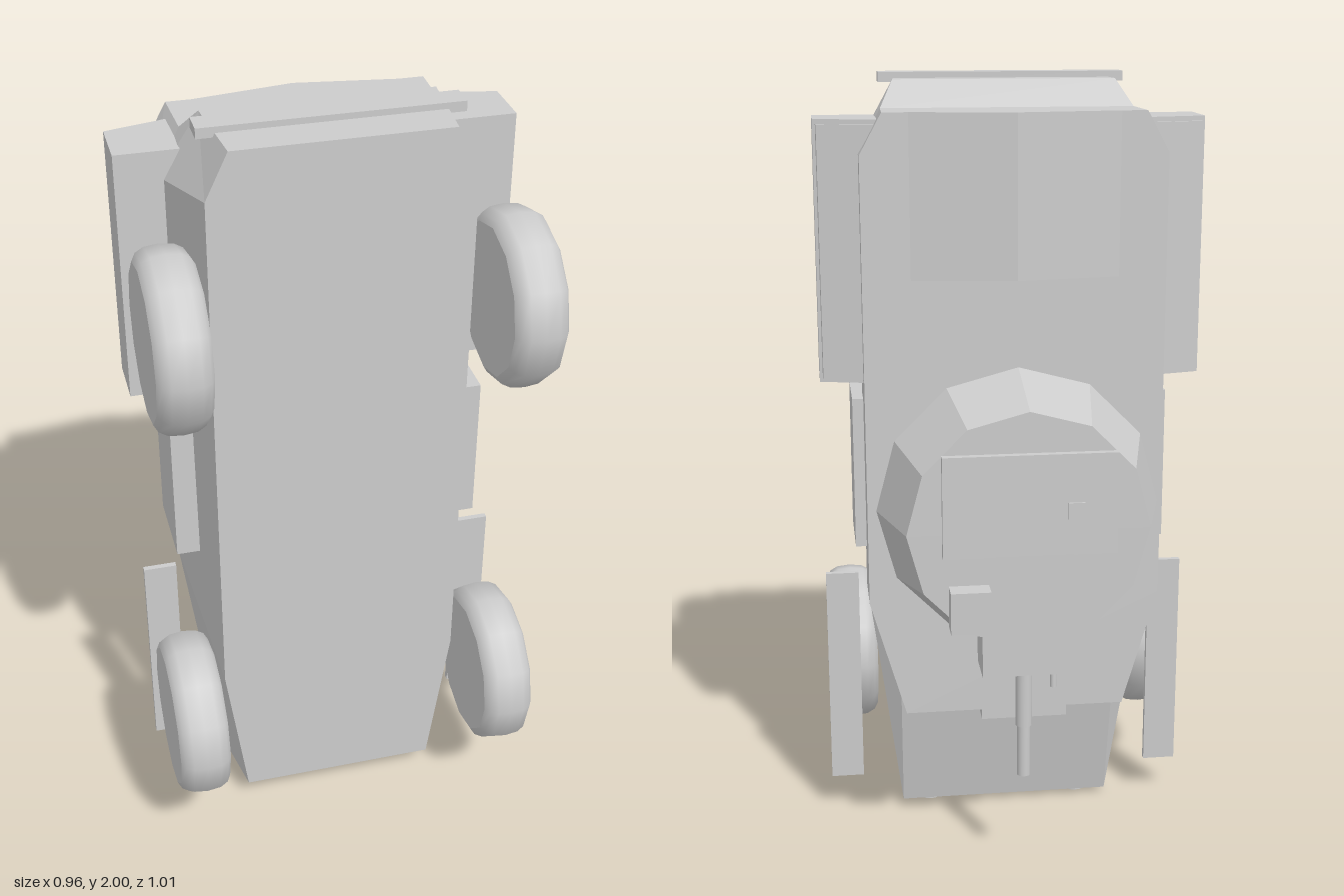
import * as THREE from 'three';

const grey = new THREE.MeshStandardMaterial({ color: 0xcccccc });
grey.name = 'plainGrey';
const flat = (g) => {
  const n = g.index ? g.toNonIndexed() : g;
  n.computeVertexNormals();
  return n;
};

export function createModel() {
  const root = new THREE.Group();
  root.name = 'armouredCar';

  const add = (name, geo, parent = root) => {
    const m = new THREE.Mesh(geo, grey);
    m.name = name;
    parent.add(m);
    return m;
  };
  // box given by its limits on each axis
  const box = (name, x0, x1, y0, y1, z0, z1) => {
    const g = new THREE.BoxGeometry(x1 - x0, y1 - y0, z1 - z0);
    g.translate((x0 + x1) / 2, (y0 + y1) / 2, (z0 + z1) / 2);
    return add(name, g);
  };
  // prism along y from an outline of [x, z] points
  const prismY = (pts, y0, y1) => {
    const s = new THREE.Shape(pts.map(([x, z]) => new THREE.Vector2(x, -z)));
    const g = new THREE.ExtrudeGeometry(s, { depth: y1 - y0, bevelEnabled: false });
    g.rotateX(-Math.PI / 2);
    g.translate(0, y0, 0);
    return g;
  };

  // Hull: four mirrored outlines from belly to roof, [x, y, z] for
  // nose corner, front shoulder, rear shoulder, rear corner
  const levels = [
    [[0.26, 0.065, 0.26], [0.315, 0.47, 0.26], [0.315, 1.87, 0.26], [0.26, 1.985, 0.26]],
    [[0.285, 0.015, 0.035], [0.375, 0.69, -0.04], [0.375, 1.82, 0], [0.28, 1.985, 0.03]],
    [[0.29, 0.38, -0.04], [0.375, 0.69, -0.04], [0.375, 1.82, -0.04], [0.315, 1.92, -0.04]],
    [[0.285, 0.38, -0.19], [0.375, 0.69, -0.19], [0.375, 1.82, -0.19], [0.32, 1.92, -0.19]],
  ].map((half) => [...half, ...half.slice().reverse().map(([x, y, z]) => [-x, y, z])]);
  const pos = [];
  const tri = (a, b, c) => pos.push(...a, ...b, ...c);
  for (let l = 0; l < 3; l++) {
    const a = levels[l], b = levels[l + 1];
    for (let i = 0; i < 8; i++) {
      const j = (i + 1) % 8;
      tri(a[i], b[i], a[j]);
      tri(b[i], b[j], a[j]);
    }
  }
  for (let i = 1; i < 7; i++) {
    tri(levels[0][0], levels[0][i], levels[0][i + 1]);
    tri(levels[3][0], levels[3][i + 1], levels[3][i]);
  }
  const hull = new THREE.BufferGeometry();
  hull.setAttribute('position', new THREE.Float32BufferAttribute(pos, 3));
  hull.computeVertexNormals();
  add('hull', hull);

  // Raised engine deck and rear bumper
  add('engineDeck', prismY([[-0.27, -0.188], [0.27, -0.188], [0, -0.228]], 1.52, 1.92));
  box('rearBumper', -0.312, 0.312, 1.975, 2, 0.095, 0.16);
  box('visionBlock', -0.155, 0.075, 0.3, 0.385, -0.08, -0.015);

  // Wheels: rounded tread with separate flat discs
  const tread = [[0.185, -0.065], [0.203, -0.055], [0.214, -0.035], [0.218, 0],
    [0.214, 0.035], [0.203, 0.055], [0.185, 0.065]].map(([r, h]) => new THREE.Vector2(r, h));
  const treadGeo = new THREE.LatheGeometry(tread, 12).rotateZ(Math.PI / 2);
  const discGeo = new THREE.CylinderGeometry(0.185, 0.185, 0.13, 12).rotateZ(Math.PI / 2);

  for (const s of [1, -1]) {
    const side = s > 0 ? 'left' : 'right';
    const sideBox = (name, x0, x1, ...r) =>
      box(side + name, Math.min(s * x0, s * x1), Math.max(s * x0, s * x1), ...r);

    for (const [end, y] of [['Front', 0.402], ['Rear', 1.553]]) {
      const wheel = new THREE.Group();
      wheel.name = side + end + 'Wheel';
      wheel.position.set(s * 0.41, y, 0.285);
      add('tyre', treadGeo, wheel);
      add('disc', discGeo, wheel);
      root.add(wheel);
    }

    // Side panel, front fender, rear stowage box with sloping lid
    sideBox('Panel', 0.33, 0.403, 0.812, 1.205, -0.09, 0.128);
    sideBox('Fender', 0.395, 0.482, 0.105, 0.7, 0.02, 0.035);
    add(side + 'StowageBox', prismY(
      [[0.31, 0.035], [0.482, 0.035], [0.482, -0.102], [0.31, -0.142]].map(([x, z]) => [s * x, z]), 1.255, 1.9));
    add(side + 'StowageLid', prismY(
      [[0.325, -0.135], [0.475, -0.1], [0.473, -0.116], [0.328, -0.15]].map(([x, z]) => [s * x, z]), 1.265, 1.888));

    // Headlight
    add(side + 'Headlight', new THREE.CylinderGeometry(0.032, 0.032, 0.045, 16)
      .translate(s * 0.207, 0.0225, 0.088));
  }

  // Turret on its ring
  const ty = 0.955;
  add('turretRing', new THREE.CylinderGeometry(0.322, 0.322, 0.07, 32)
    .rotateX(-Math.PI / 2).translate(0, ty, -0.215));
  add('turret', flat(new THREE.CylinderGeometry(0.295, 0.355, 0.208, 12)
    .rotateX(-Math.PI / 2).translate(0, ty, -0.346)));
  box('turretHatch', -0.21, 0.21, 0.9, 1.15, -0.469, -0.445);
  box('hatchHandle', -0.13, -0.09, 0.99, 1.03, -0.474, -0.465);
  box('sight', 0.098, 0.195, 0.72, 0.825, -0.503, -0.445);

  // Mantlet, main gun and coaxial gun
  box('mantlet', -0.11, 0.11, 0.568, 0.72, -0.414, -0.3);
  const barrel = (name, x, z, r, y0, y1) =>
    add(name, new THREE.CylinderGeometry(r, r, y1 - y0, 16).translate(x, (y0 + y1) / 2, z));
  barrel('gunSleeve', 0, -0.355, 0.021, 0.41, 0.58);
  barrel('gunBarrel', 0, -0.355, 0.017, 0.272, 0.42);
  barrel('coaxialGun', -0.075, -0.355, 0.008, 0.51, 0.58);

  return root;
}
